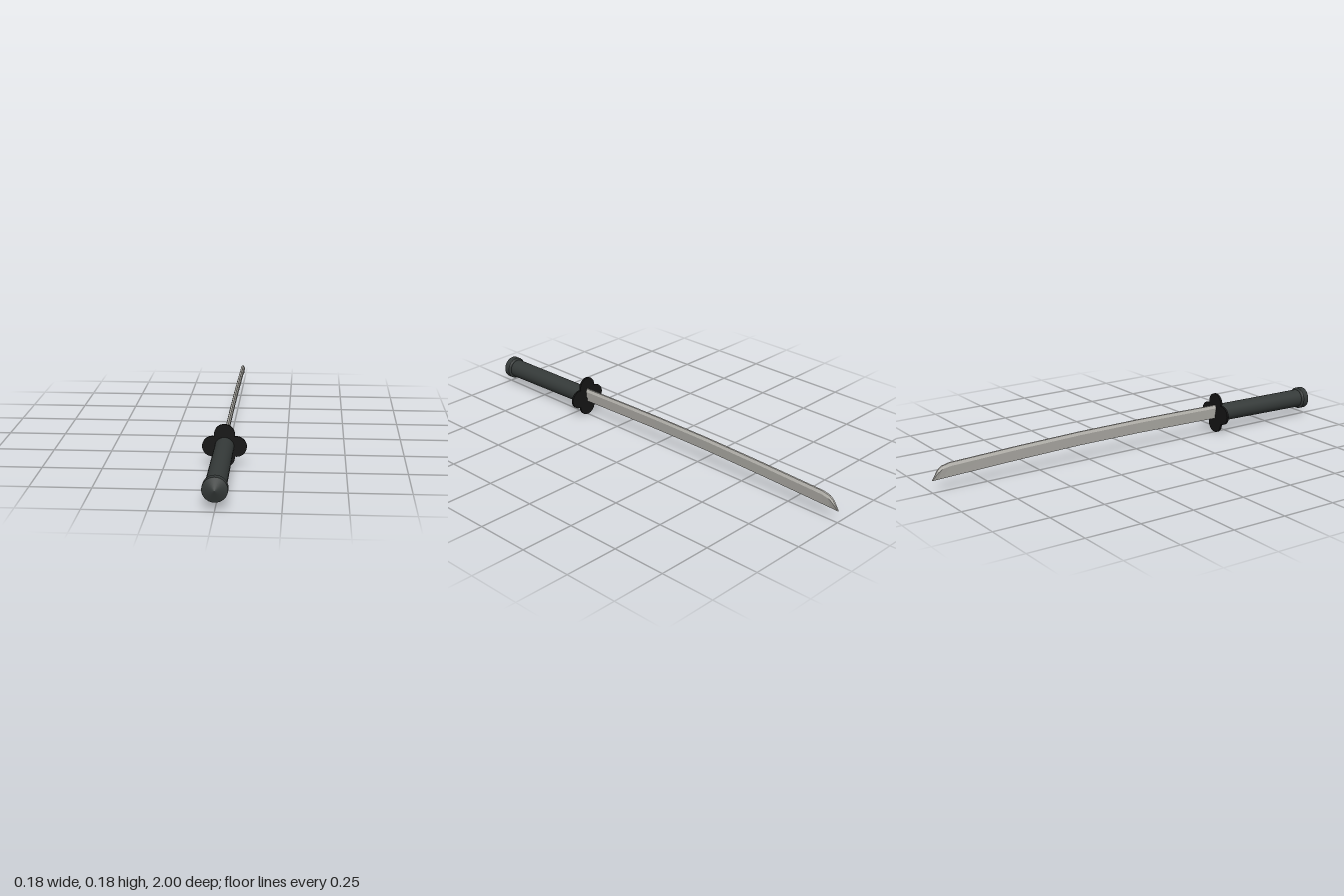
import * as THREE from 'three';

const mat = (color, extra = {}) => new THREE.MeshStandardMaterial({ color, ...extra });

function part(name, geometry, material) {
  const mesh = new THREE.Mesh(geometry, material);
  mesh.name = name;
  return mesh;
}

// Height at z, interpolated along a smooth (z, y) outline
function sampler(points) {
  return (z) => {
    let i = 0;
    while (i < points.length - 2 && z < points[i + 1][0]) i++;
    const [z0, y0] = points[i], [z1, y1] = points[i + 1];
    return y0 + (y1 - y0) * (z - z0) / (z1 - z0);
  };
}

// Blade: five-sided cross-sections with a spine, a side ridge and a sharp lower edge
function bladeGeometry() {
  const top = sampler([[0.45, 0.13], [0.2, 0.134], [0, 0.136], [-0.3, 0.135], [-0.6, 0.128],
    [-0.92, 0.117], [-0.955, 0.109], [-0.975, 0.094], [-1, 0.055]]);
  const bottom = sampler([[0.45, 0.066], [0.2, 0.07], [0, 0.073], [-0.3, 0.073], [-0.6, 0.066], [-1, 0.053]]);
  const stations = [0.45, 0.32, 0.2, 0.1, 0, -0.15, -0.3, -0.45, -0.6, -0.76, -0.92, -0.955, -0.975, -1];
  const rings = stations.map((z) => {
    const t = top(z), b = bottom(z), ridge = b + (t - b) * 0.78;
    const w = z < -0.99 ? 0.003 : 0.0085, s = w * 0.45;
    return [[0, b, z], [w, ridge, z], [s, t, z], [-s, t, z], [-w, ridge, z]];
  });
  const pos = [];
  const tri = (...corners) => corners.forEach((c) => pos.push(...c));
  for (let i = 0; i < rings.length - 1; i++) {
    for (let j = 0; j < 5; j++) {
      const k = (j + 1) % 5, p = rings[i], q = rings[i + 1];
      tri(p[j], q[j], q[k]);
      tri(p[j], q[k], p[k]);
    }
  }
  const first = rings[0], last = rings[rings.length - 1];
  for (let j = 1; j < 4; j++) {
    tri(first[0], first[j], first[j + 1]);
    tri(last[0], last[j + 1], last[j]);
  }
  const g = new THREE.BufferGeometry();
  g.setAttribute('position', new THREE.Float32BufferAttribute(pos, 3));
  g.computeVertexNormals();
  return g;
}

export function createModel() {
  const model = new THREE.Group();
  model.name = 'sword';
  const dark = mat(0x353a39);
  const black = mat(0x151515);

  model.add(part('blade', bladeGeometry(), mat(0xb8b6b0, { flatShading: true })));

  // Guard: four overlapping round lobes
  const guard = new THREE.Group();
  guard.name = 'guard';
  for (const [x, y] of [[0, 0.142], [0, 0.044], [0.049, 0.091], [-0.049, 0.091]]) {
    const lobe = part('guardLobe', new THREE.CylinderGeometry(0.043, 0.043, 0.009, 32).rotateX(Math.PI / 2), black);
    lobe.position.set(x, y, 0.449);
    guard.add(lobe);
  }
  model.add(guard);

  // Handle: grip and pommel, tilted slightly down toward the end
  const handle = new THREE.Group();
  handle.name = 'handle';
  handle.position.set(0, 0.09, 0.449);
  handle.rotation.x = 0.016;
  const grip = part('grip', new THREE.CylinderGeometry(0.042, 0.04, 0.51, 32).rotateX(Math.PI / 2), dark);
  grip.position.z = 0.255;
  handle.add(grip);

  const cap = [[0, 0.496], [0.044, 0.496], [0.05, 0.504], [0.05, 0.504], [0.05, 0.532], [0.05, 0.532], [0, 0.551]]
    .map(([r, h]) => new THREE.Vector2(r, h));
  handle.add(part('pommel', new THREE.LatheGeometry(cap, 32).rotateX(Math.PI / 2), dark));
  model.add(handle);

  return model;
}
